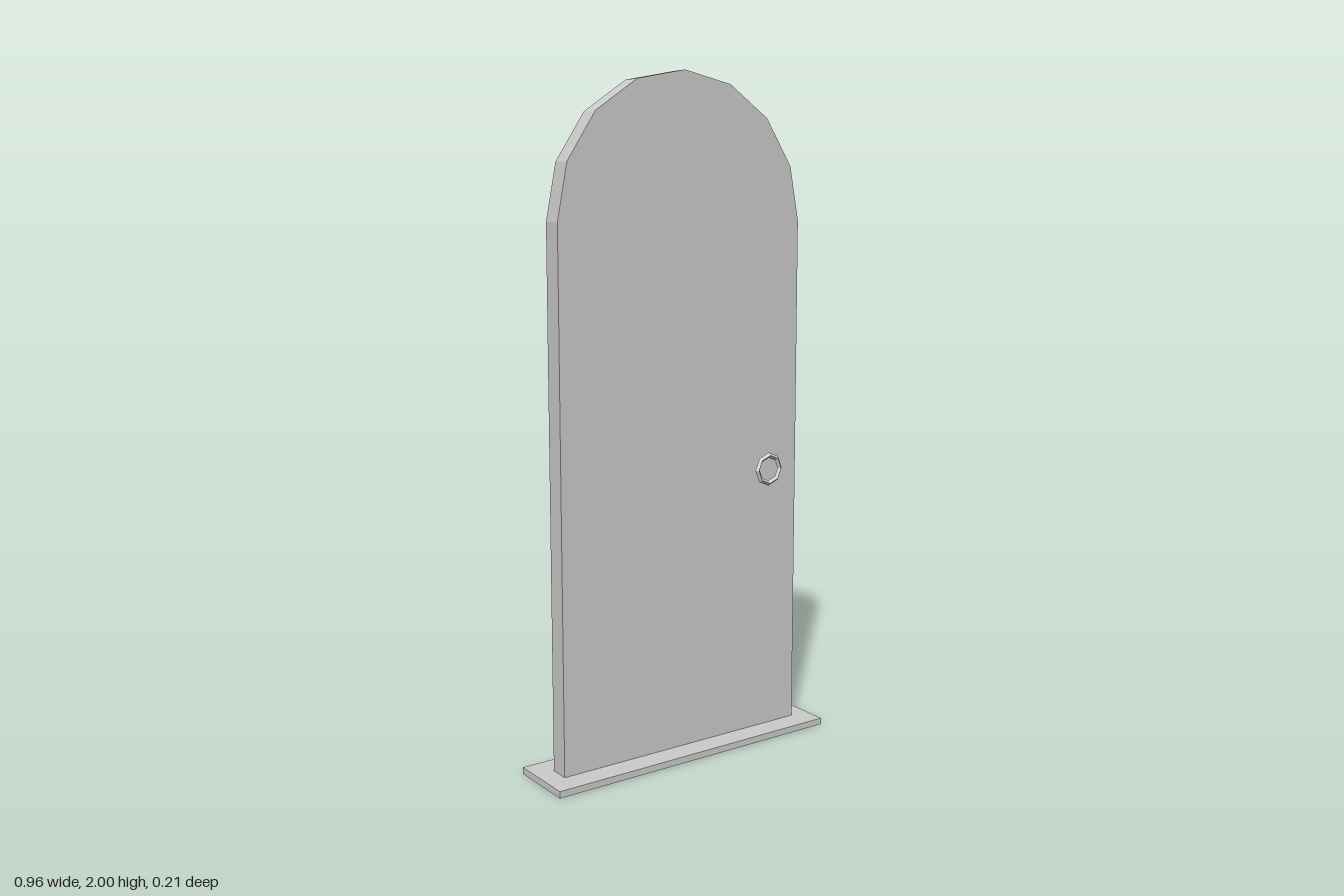
import * as THREE from 'three';

const material = new THREE.MeshStandardMaterial({ color: 0xcccccc, flatShading: true });

function addPart(group, name, geometry, x, y, z) {
  const mesh = new THREE.Mesh(geometry, material);
  mesh.name = name;
  mesh.position.set(x, y, z);
  group.add(mesh);
}

export function createModel() {
  const group = new THREE.Group();
  group.name = 'archedDoor';

  // Flat sill under the door
  addPart(group, 'threshold', new THREE.BoxGeometry(0.96, 0.02, 0.208), 0, 0.01, 0);

  // Door slab topped by a half circle of eight straight segments
  const radius = 0.42, springY = 1.58, thickness = 0.06, segments = 8;
  const outline = new THREE.Shape();
  outline.moveTo(-radius, 0.02);
  outline.lineTo(radius, 0.02);
  for (let i = 0; i <= segments; i++) {
    const a = (i / segments) * Math.PI;
    outline.lineTo(radius * Math.cos(a), springY + radius * Math.sin(a));
  }
  outline.closePath();
  const slab = new THREE.ExtrudeGeometry(outline, { depth: thickness, bevelEnabled: false });
  addPart(group, 'doorPanel', slab, 0, 0, -thickness / 2);

  // Octagonal ring handle on each face
  for (const side of [1, -1]) {
    const ring = new THREE.TorusGeometry(0.043, 0.008, 4, 8);
    addPart(group, side > 0 ? 'frontRingHandle' : 'backRingHandle', ring, 0.297, 0.835, side * 0.053);
  }
  return group;
}
